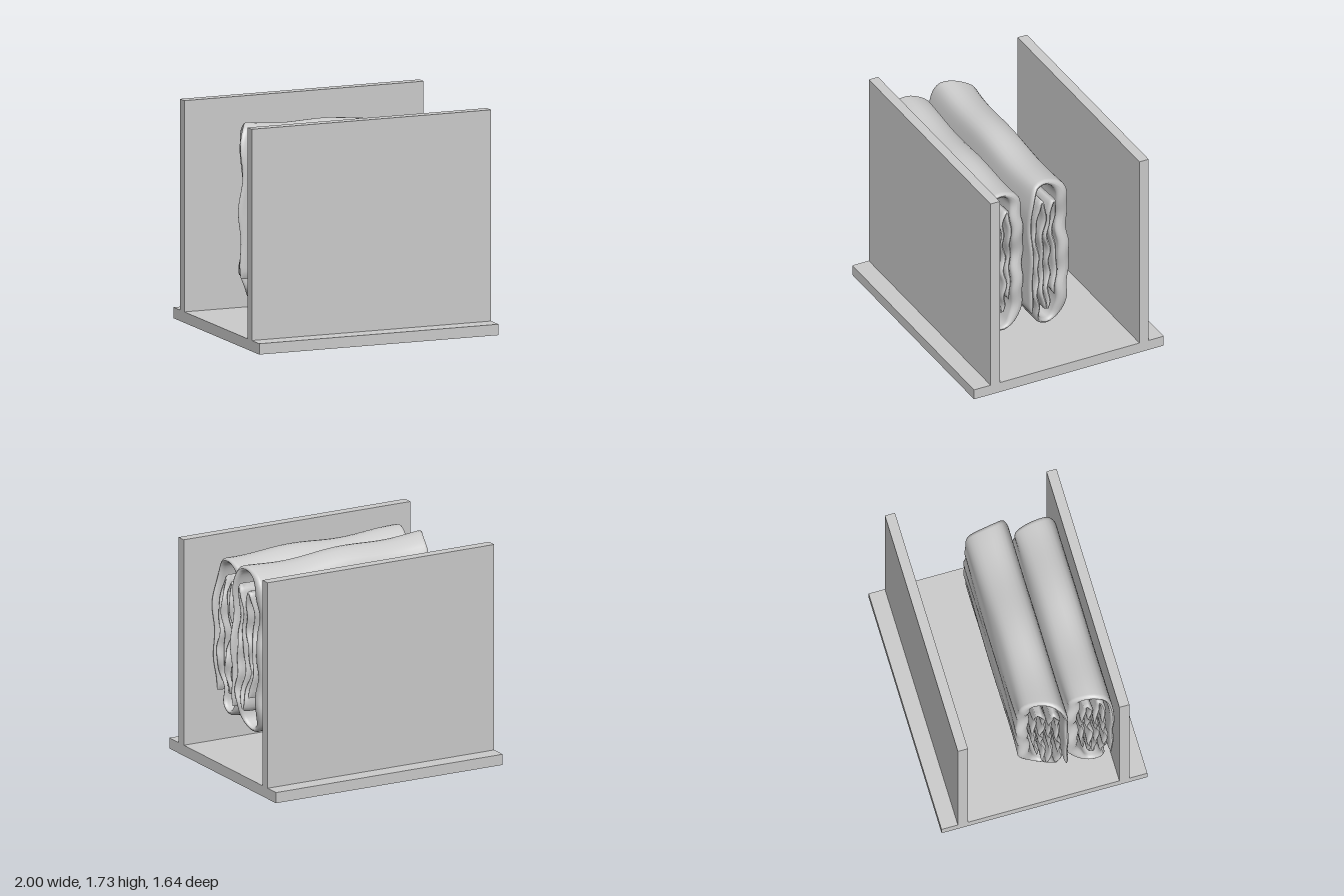
import * as THREE from 'three';

const material = new THREE.MeshStandardMaterial({ color: 0xcccccc });

// Folded cloth path seen from the end: [depth, height], both -1..1
const FOLDS = [
  [0.9, -0.72], [0.9, 0], [0.88, 0.7], [0.58, 0.93], [0, 0.96], [-0.48, 0.87],
  [-0.72, 0.55], [-0.74, 0], [-0.72, -0.55], [-0.45, -0.87], [0, -0.95], [0.4, -0.89],
  [0.6, -0.6], [0.6, 0], [0.58, 0.58], [0.44, 0.76], [0.3, 0.58], [0.29, 0],
  [0.3, -0.52], [0.16, -0.72], [0.01, -0.52], [0, 0], [0.01, 0.55], [-0.14, 0.72],
  [-0.28, 0.52], [-0.3, 0], [-0.28, -0.55],
];

function box(name, w, h, d, y, z) {
  const mesh = new THREE.Mesh(new THREE.BoxGeometry(w, h, d), material);
  mesh.name = name;
  mesh.position.set(0, y, z);
  return mesh;
}

// Stations across the width: [position 0..1, thickness 0..1], rounded at both hems
function hemStations() {
  const list = [];
  const hem = 0.022, round = 5, middle = 30;
  for (let i = 0; i < round; i++) {
    const a = (i / round) * Math.PI / 2;
    list.push([hem * (1 - Math.cos(a)), Math.sin(a)]);
  }
  for (let i = 0; i <= middle; i++) list.push([hem + (1 - 2 * hem) * i / middle, 1]);
  for (let i = round - 1; i >= 0; i--) {
    const a = (i / round) * Math.PI / 2;
    list.push([1 - hem * (1 - Math.cos(a)), Math.sin(a)]);
  }
  return list;
}

// One long sheet folded over itself, swept across x with soft creases
function foldedCloth(name, o) {
  const path = new THREE.CatmullRomCurve3(
    FOLDS.map(([p, q]) => new THREE.Vector3(0, q * 0.695, p * o.halfDepth)), false, 'centripetal');
  const n = 230;
  const centres = path.getSpacedPoints(n);
  const xAxis = new THREE.Vector3(1, 0, 0);
  const normals = centres.map((c, j) => {
    const t = centres[Math.min(j + 1, n)].clone().sub(centres[Math.max(j - 1, 0)]).normalize();
    return xAxis.clone().cross(t);
  });
  const stations = hemStations();
  const ring = 2 * (n + 1);
  const positions = [], indices = [];
  const { lerp, smoothstep } = THREE.MathUtils;

  stations.forEach(([s, round], i) => {
    const side = s * 2 - 1;
    const endCrease = Math.pow(Math.abs(side), 6);
    for (let k = 0; k < ring; k++) {
      const front = k <= n;
      const j = front ? k : ring - 1 - k;
      const c = centres[j], t = j / n;
      const p = c.z / o.halfDepth, q = c.y / 0.695;

      // Thick padded back, thin inner layers, tapered sheet ends
      const outer = 1 - smoothstep(t, 0.36, 0.45);
      const back = outer * smoothstep(-p, 0.1, 0.7);
      const taper = Math.sqrt(Math.min(1, t / 0.008, (1 - t) / 0.008));
      const h = (0.017 + 0.006 * outer * (1 - smoothstep(p, 0.5, 0.9)) + 0.024 * back) * round * taper;
      const y0 = c.y + normals[j].y * h * (front ? 1 : -1);
      const z0 = c.z + normals[j].z * h * (front ? 1 : -1);

      // Uneven hems, narrower towards the back and at the corners
      const w = (p + 1) / 2;
      const inset = 0.018 * (1 + Math.sin(t * 47 + o.seed)) * (1 - 0.5 * outer)
        + 0.03 * Math.pow(Math.abs(q), 4) + 0.012 * Math.sin(q * 9 + o.seed * 2);
      const x = lerp(lerp(o.left[0], o.left[1], w) + inset, lerp(o.right[0], o.right[1], w) - inset, s);

      // Sagging top and bottom, creases shared by neighbouring layers
      const top = lerp(o.top[0], o.top[1], s) + 0.012 * Math.sin(x * 7 + o.seed) - 0.012;
      const bottom = lerp(o.bottom[0], o.bottom[1], s) + 0.008 * Math.sin(x * 6 + o.seed * 3);
      const y = lerp(bottom, top, (y0 / 0.695 + 1) / 2);
      const crease = (0.007 * Math.sin(q * 8 + x * 5 + o.seed) + 0.005 * Math.sin(q * 17 - x * 4)) * (0.35 + endCrease);
      const fade = 1 - smoothstep(p, 0.4, 0.9);
      const loose = 0.006 * Math.sin(q * 13 + t * 60) * endCrease * (1 - outer);
      positions.push(x, y, o.z + z0 + crease * fade + loose);

      if (i < stations.length - 1) {
        const a = i * ring + k, a2 = i * ring + (k + 1) % ring;
        indices.push(a, a + ring, a2 + ring, a, a2 + ring, a2);
      }
    }
  });

  const geometry = new THREE.BufferGeometry();
  geometry.setAttribute('position', new THREE.Float32BufferAttribute(positions, 3));
  geometry.setIndex(indices);
  geometry.computeVertexNormals();
  const mesh = new THREE.Mesh(geometry, material);
  mesh.name = name;
  return mesh;
}

export function createModel() {
  const group = new THREE.Group();
  group.name = 'clothHolder';

  // Base board and two upright panels
  group.add(box('baseBoard', 2, 0.085, 1.64, 0.0425, 0));
  group.add(box('frontPanel', 2, 1.645, 0.08, 0.9075, 0.637));
  group.add(box('backPanel', 2, 1.645, 0.08, 0.9075, -0.65));

  // Two folded cloths; end values run back-to-front and -x to +x
  group.add(foldedCloth('frontCloth', {
    z: 0.41, halfDepth: 0.176, seed: 0.6,
    left: [-0.8, -0.91], right: [0.71, 0.76],
    top: [1.62, 1.6], bottom: [0.22, 0.32],
  }));
  group.add(foldedCloth('backCloth', {
    z: 0.043, halfDepth: 0.184, seed: 2.1,
    left: [-0.73, -0.91], right: [0.74, 0.81],
    top: [1.675, 1.62], bottom: [0.27, 0.29],
  }));
  return group;
}
